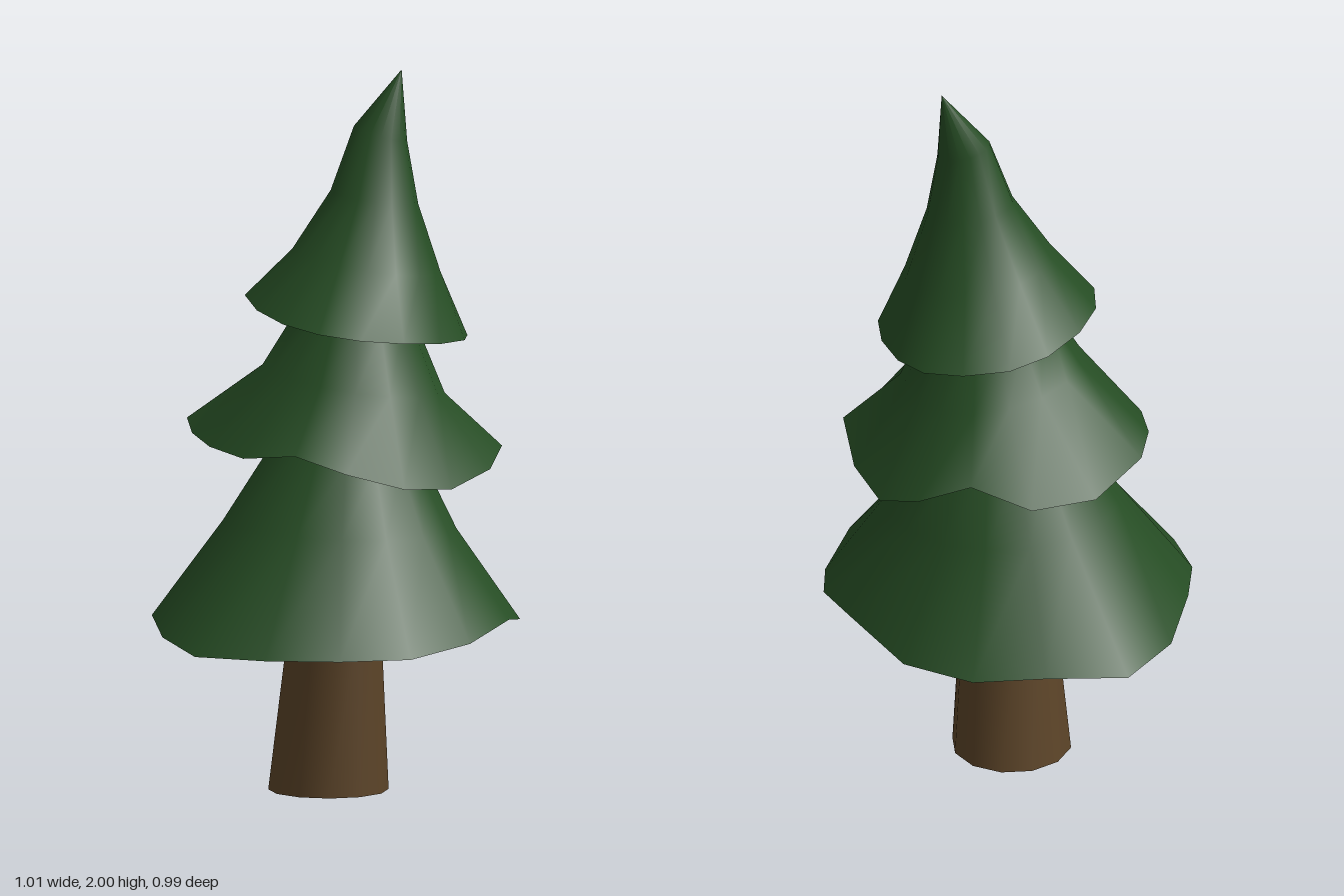
import * as THREE from 'three';

const SIDES = 16;
const green = new THREE.MeshStandardMaterial({ color: 0x264d24 });
const brown = new THREE.MeshStandardMaterial({ color: 0x5c4428 });

// Elliptical ring, starting at the back and running towards +x; tilt is the slope of y along x
function ring(cx, y, cz, rx, rz, tilt = 0, sides = SIDES) {
  return Array.from({ length: sides }, (_, i) => {
    const a = (i / sides) * Math.PI * 2;
    const dx = Math.sin(a) * rx;
    return [cx + dx, y + dx * tilt, cz - Math.cos(a) * rz];
  });
}

function toMesh(name, points, index, material) {
  const geo = new THREE.BufferGeometry();
  geo.setAttribute('position', new THREE.Float32BufferAttribute(points.flat(), 3));
  geo.setIndex(index);
  geo.computeVertexNormals();
  const mesh = new THREE.Mesh(geo, material);
  mesh.name = name;
  return mesh;
}

// Smooth skin through stacked rings, lowest first
function skin(name, rings, material) {
  const n = rings[0].length;
  const index = [];
  for (let r = 0; r < rings.length - 1; r++) {
    for (let i = 0; i < n; i++) {
      const a = r * n + i, b = r * n + ((i + 1) % n);
      index.push(b, a, a + n, b, a + n, b + n);
    }
  }
  return toMesh(name, rings.flat(), index, material);
}

// Downward-facing fan closing a ring
function underside(name, rim, centre, material) {
  const n = rim.length;
  const index = [];
  for (let i = 0; i < n; i++) index.push(n, i, (i + 1) % n);
  return toMesh(name, [...rim, centre], index, material);
}

function tier(name, rim, centre, upperRings) {
  const group = new THREE.Group();
  group.name = name;
  group.add(skin(name + 'Foliage', [rim, ...upperRings], green));
  group.add(underside(name + 'Underside', rim, centre, green));
  return group;
}

export function createModel() {
  const tree = new THREE.Group();
  tree.name = 'pineTree';

  // Trunk: tapered, leaning, tucked into the lowest branches
  const trunkRings = [
    ring(-0.02, 0, -0.045, 0.165, 0.17, 0, 12),
    ring(-0.003, 0.46, -0.015, 0.127, 0.127, 0, 12),
  ];
  const trunk = new THREE.Group();
  trunk.name = 'trunk';
  trunk.add(skin('trunkBark', trunkRings, brown));
  trunk.add(underside('trunkBase', trunkRings[0], [-0.02, 0, -0.045], brown));
  tree.add(trunk);

  // Uneven rims of the three tiers: x, y, z
  const lowerRim = [
    [0.01, 0.435, -0.495], [0.215, 0.435, -0.425], [0.4, 0.462, -0.23], [0.485, 0.483, -0.15],
    [0.505, 0.475, -0.01], [0.47, 0.503, 0.18], [0.36, 0.462, 0.345], [0.195, 0.435, 0.455],
    [0, 0.435, 0.493], [-0.205, 0.435, 0.47], [-0.395, 0.435, 0.39], [-0.48, 0.46, 0.2],
    [-0.505, 0.49, -0.01], [-0.495, 0.457, -0.225], [-0.405, 0.435, -0.395], [-0.185, 0.435, -0.44],
  ];
  const middleRim = [
    [0.03, 1.0, -0.41], [0.18, 0.93, -0.39], [0.3, 0.88, -0.315], [0.395, 0.905, -0.18],
    [0.455, 0.957, -0.01], [0.42, 0.915, 0.14], [0.31, 0.88, 0.28], [0.18, 0.893, 0.365],
    [0.02, 0.94, 0.4], [-0.12, 0.985, 0.36], [-0.26, 0.965, 0.265], [-0.35, 0.978, 0.13],
    [-0.395, 0.995, -0.01], [-0.405, 1.01, -0.185], [-0.3, 0.938, -0.31], [-0.135, 0.928, -0.385],
  ];
  const upperRim = [
    [0.065, 1.305, -0.335], [0.18, 1.29, -0.31], [0.265, 1.278, -0.23], [0.33, 1.27, -0.115],
    [0.36, 1.265, 0], [0.35, 1.268, 0.11], [0.28, 1.276, 0.23], [0.18, 1.29, 0.32],
    [0.06, 1.305, 0.365], [-0.055, 1.318, 0.33], [-0.15, 1.333, 0.24], [-0.22, 1.355, 0.125],
    [-0.25, 1.375, -0.02], [-0.225, 1.36, -0.135], [-0.155, 1.335, -0.24], [-0.06, 1.318, -0.31],
  ];

  tree.add(tier('lowerBranches', lowerRim, [0, 0.45, 0], [
    ring(0.01, 0.742, 0, 0.32, 0.3, -0.04),
    ring(0.022, 0.93, 0, 0.215, 0.19, -0.04),
    ring(0.03, 1.05, 0, 0.14, 0.12),
  ]));
  tree.add(tier('middleBranches', middleRim, [0.03, 0.945, 0], [
    ring(0.048, 1.145, 0, 0.25, 0.262, -0.16),
    ring(0.055, 1.305, 0, 0.17, 0.19, -0.12),
    ring(0.06, 1.4, 0, 0.12, 0.13, -0.12),
  ]));
  tree.add(tier('upperBranches', upperRim, [0.06, 1.315, 0], [
    ring(0.083, 1.475, 0.005, 0.203, 0.207, -0.16),
    ring(0.105, 1.65, 0.005, 0.12, 0.107, -0.16),
    ring(0.122, 1.825, 0.002, 0.073, 0.063, -0.3),
    ring(0.18, 2, -0.015, 0, 0),
  ]));

  return tree;
}
